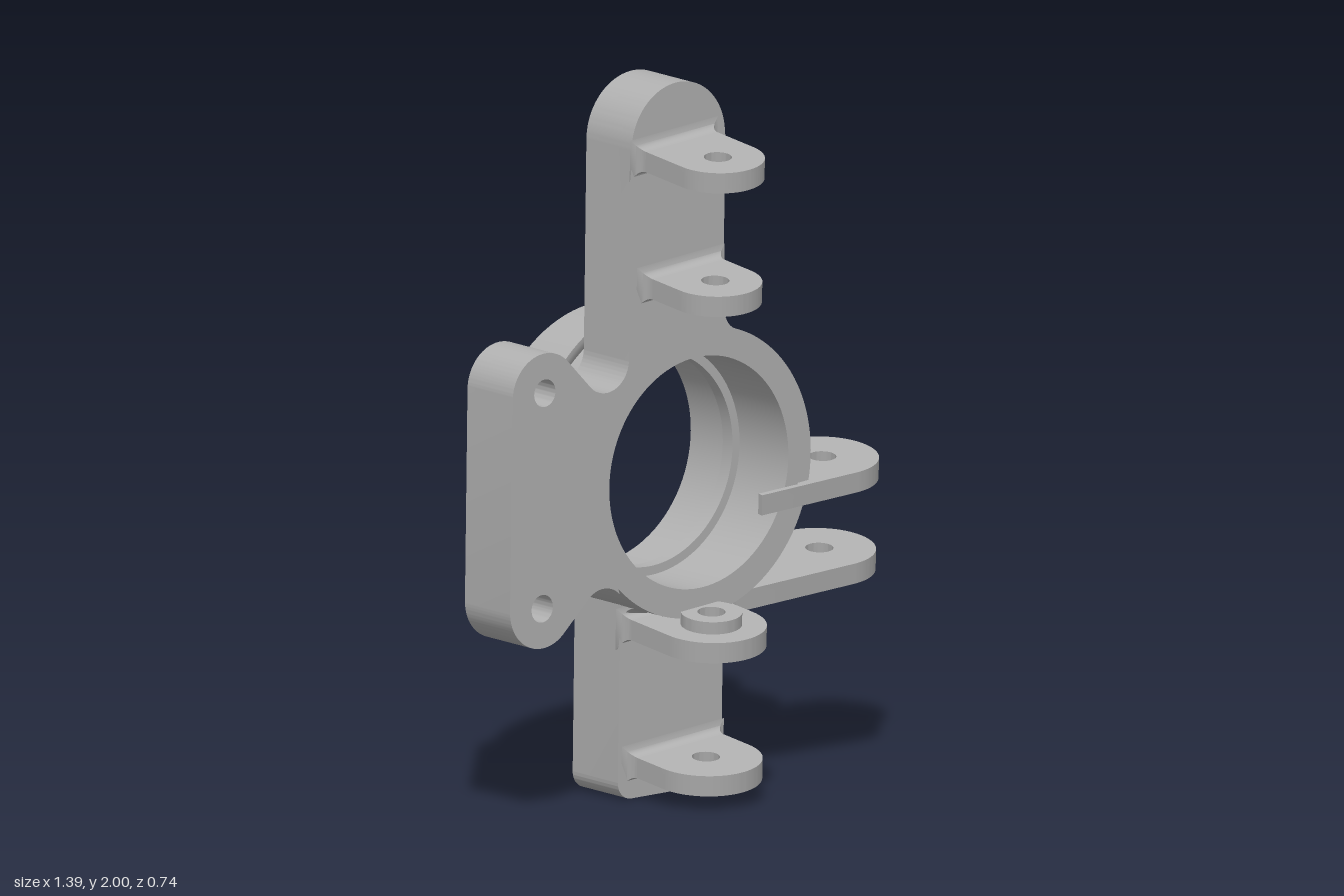
import * as THREE from 'three';
import { toCreasedNormals } from 'three/addons/utils/BufferGeometryUtils.js';

const metal = new THREE.MeshStandardMaterial({ color: 0xb0b0b0, side: THREE.DoubleSide });
metal.name = 'cast grey metal';

const RING = { x: -0.03, y: 0.91, outer: 0.4, bore: 0.32, lip: 0.295 };
const PI = Math.PI, deg = PI / 180;

function part(name, geometry, parent) {
  const mesh = new THREE.Mesh(toCreasedNormals(geometry, 0.5), metal);
  mesh.name = name;
  parent.add(mesh);
  return mesh;
}

function circleHole(shape, x, y, r) {
  const hole = new THREE.Path();
  hole.absarc(x, y, r, 0, PI * 2, true);
  shape.holes.push(hole);
}

function slab(shape, z0, z1) {
  const g = new THREE.ExtrudeGeometry(shape, { depth: z1 - z0, bevelEnabled: false, curveSegments: 32 });
  return g.translate(0, 0, z0);
}

// Profile of [radius, z] turned around the bore axis, between two angles in degrees
function turned(profile, from = 0, to = 360) {
  const pts = profile.map(([r, z]) => new THREE.Vector2(r, z));
  const steps = Math.max(10, Math.round((to - from) / 4));
  const g = new THREE.LatheGeometry(pts, steps, (from + 90) * deg, (to - from) * deg);
  return g.rotateX(PI / 2).translate(RING.x, RING.y, 0);
}

// Concave fillet where a flat face at z meets the ring wall
function ringFillet(z, r, side, from, to) {
  const profile = [];
  for (let i = 0; i <= 8; i++) {
    const a = (i / 8) * PI / 2;
    profile.push([RING.outer + r * (1 - Math.sin(a)), z + side * r * (1 - Math.cos(a))]);
  }
  if (side < 0) profile.reverse();
  return turned(profile, from, to);
}

// Upper arm, flange with two lobes and the ring's front, as one outline
function plateShape() {
  const s = new THREE.Shape();
  s.moveTo(0.05, 1.37);
  s.lineTo(0.05, 1.833);
  s.absarc(-0.118, 1.833, 0.167, 0, PI, false);
  s.lineTo(-0.285, 1.255);
  s.absarc(-0.365, 1.255, 0.08, 0, -135 * deg, true);
  s.absarc(-0.585, 1.2, 0.115, 45 * deg, PI, false);
  s.absarc(-0.585, 0.615, 0.115, PI, 315 * deg, false);
  s.absarc(-0.365, 0.555, 0.08, 135 * deg, 45 * deg, true);
  s.absarc(RING.x, RING.y, RING.outer, 225 * deg, 432 * deg, false);
  s.quadraticCurveTo(0.055, 1.305, 0.05, 1.37);
  circleHole(s, RING.x, RING.y, 0.36);
  circleHole(s, -0.585, 1.205, 0.038);
  circleHole(s, -0.585, 0.61, 0.038);
  return s;
}

function lowerArmShape() {
  const s = new THREE.Shape(), w = 0.185, r = 0.05;
  s.moveTo(-w, 0.58);
  s.lineTo(-w, r);
  s.absarc(-w + r, r, r, PI, 1.5 * PI, false);
  s.absarc(w - r, r, r, 1.5 * PI, 2 * PI, false);
  s.lineTo(w, 0.58);
  return s;
}

// All lugs lie square to one leaning pin axis
const axis = new THREE.Vector3(-0.08, 1, 0.126).normalize();

function lugFrame(name, center, direction, parent) {
  const v = direction.clone().addScaledVector(axis, -direction.dot(axis)).normalize();
  const u = new THREE.Vector3().crossVectors(v, axis);
  const frame = new THREE.Group();
  frame.name = name;
  frame.quaternion.setFromRotationMatrix(new THREE.Matrix4().makeBasis(u, v, axis));
  frame.position.set(...center);
  parent.add(frame);
  return frame;
}

// Round-ended tab; root lists the points of its inner end
function lugShape(w, root, hole) {
  const s = new THREE.Shape();
  s.absarc(0, 0, w, 0, PI, false);
  for (const [x, y] of root) s.lineTo(x, y);
  s.closePath();
  circleHole(s, 0, 0, hole);
  return s;
}

// Flared root where a lug meets its wall
function rootFillet(w, t, r) {
  const g = new THREE.BoxGeometry(2, r, 2, 1, 6, 1), p = g.attributes.position;
  for (let i = 0; i < p.count; i++) {
    const d = p.getY(i) + r / 2;
    const flare = r - Math.sqrt(Math.max(0, r * r - (r - d) ** 2));
    p.setXYZ(i, p.getX(i) * (w + flare), d, p.getZ(i) * (t / 2 + flare));
  }
  g.computeVertexNormals();
  return g;
}

export function createModel() {
  const model = new THREE.Group();
  model.name = 'steeringUpright';

  // Main casting, leaning slightly forward about the ring centre
  const tilt = new THREE.Group();
  tilt.name = 'casting';
  tilt.position.y = RING.y;
  tilt.rotation.x = 0.018;
  model.add(tilt);
  const body = new THREE.Group();
  body.name = 'castingBody';
  body.position.y = -RING.y;
  tilt.add(body);

  part('upperArmAndFlange', slab(plateShape(), -0.135, 0.05), body);
  part('lowerArm', slab(lowerArmShape(), -0.274, -0.089), body);
  const { outer, bore, lip } = RING;
  part('bearingRing', turned([
    [bore, 0.05], [bore, -0.15], [lip, -0.15], [lip, -0.19], [bore, -0.19],
    [bore, -0.35], [bore + 0.01, -0.36], [outer, -0.36], [outer, 0.05], [bore, 0.05],
  ].reverse().map(([r, z]) => [r, z]).reverse()), body);
  part('upperRingFillet', ringFillet(-0.135, 0.055, -1, 79, 215), body);
  part('lowerBackFillet', ringFillet(-0.274, 0.06, -1, 250, 298), body);
  part('lowerFrontFillet', ringFillet(-0.089, 0.04, 1, 250, 298), body);

  // Forward lugs: hole centre, half width, z of the wall behind
  const t = 0.058;
  const forward = new THREE.Vector3(0, 0, 1);
  const forwardLugs = [
    ['topLug', [-0.133, 1.794, 0.245], 0.127, 0.069],
    ['upperLug', [-0.103, 1.443, 0.2], 0.127, 0.062],
    ['bossLug', [-0.017, 0.468, 0.085], 0.15, -0.096],
    ['bottomLug', [0.012, 0.09, 0.03], 0.153, -0.103],
  ];
  for (const [name, center, w, wall] of forwardLugs) {
    const lug = lugFrame(name, center, forward, model);
    const L = center[2] - wall;
    part('tab', slab(lugShape(w, [[-w, -L - 0.04], [w, -L - 0.04]], 0.038), -t / 2, t / 2), lug);
    part('rootFillet', rootFillet(w, t, 0.03), lug).position.y = -L - 0.003;
    if (name === 'bossLug') {
      const boss = new THREE.Shape();
      boss.absarc(0, 0, 0.083, 0, PI * 2, false);
      circleHole(boss, 0, 0, 0.038);
      part('boss', slab(boss, t / 2 - 0.005, t / 2 + 0.035), lug);
    }
  }

  // Side lugs; the upper one keeps a thin sliver running across the ring's front
  const sideways = new THREE.Vector3(1, 0, 0.06);
  const w = 0.153;
  const sideLugs = [
    ['upperSideLug', [0.515, 0.832, -0.07], [[-w, -0.185], [0.137, -0.185], [0.137, -0.32], [w, -0.32]]],
    ['lowerSideLug', [0.535, 0.572, -0.105], [[-w, -0.4], [w, -0.4]]],
  ];
  for (const [name, center, root] of sideLugs) {
    const lug = lugFrame(name, center, sideways, model);
    part('tab', slab(lugShape(w, root, 0.038), -t / 2, t / 2), lug);
  }
  return model;
}
